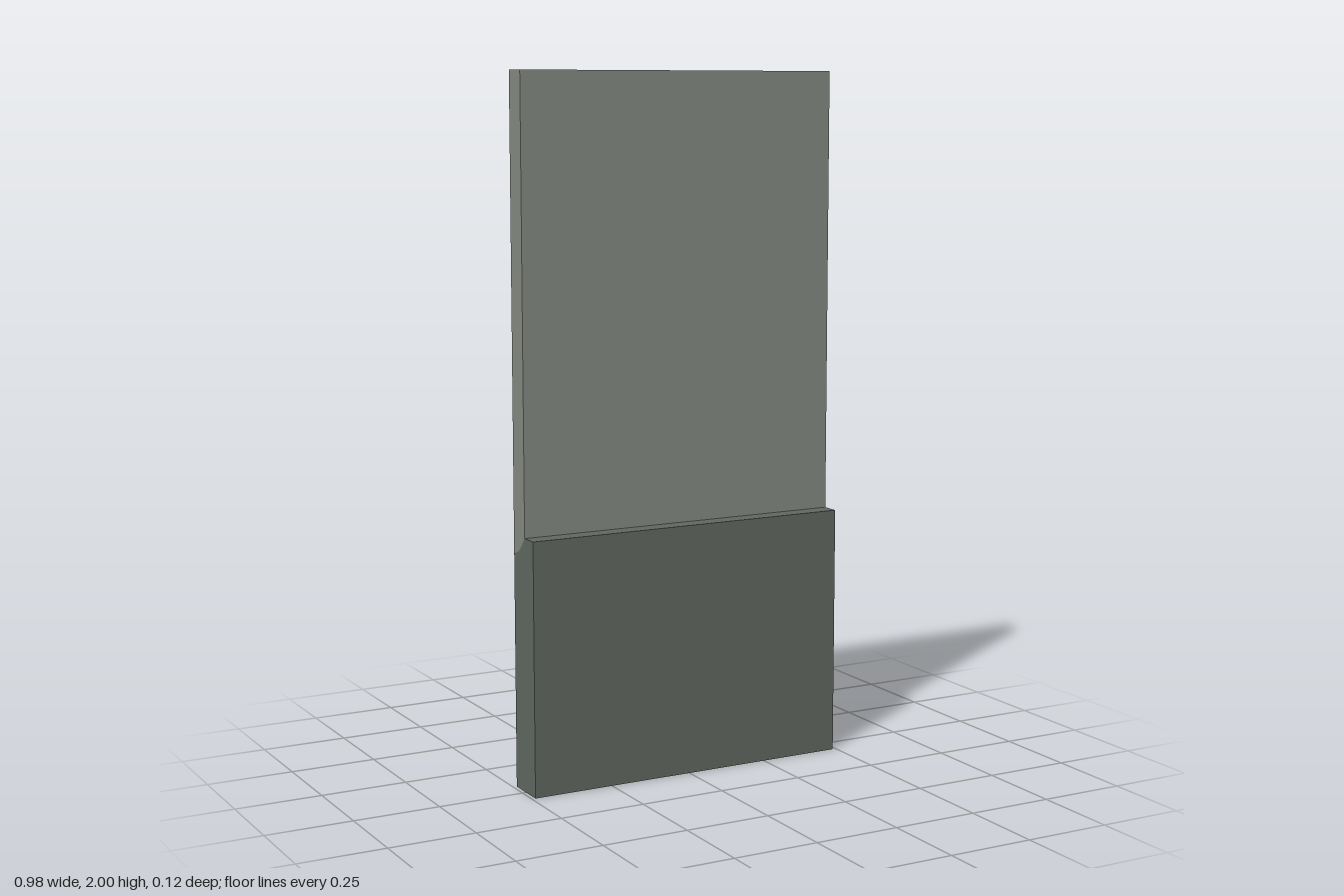
import * as THREE from 'three';

const HALF = 0.489, BACK = -0.062, STEP = 0.008, FRONT = 0.062, LEDGE = 0.726, TOP = 2;

// Open sheet: a [z, y] profile swept across the full width, with hard folds
function sweep(profile) {
  const pos = [];
  for (let i = 0; i < profile.length - 1; i++) {
    const [az, ay] = profile[i], [bz, by] = profile[i + 1];
    const a = [-HALF, ay, az], b = [-HALF, by, bz], c = [HALF, by, bz], d = [HALF, ay, az];
    pos.push(...a, ...b, ...c, ...a, ...c, ...d);
  }
  const geo = new THREE.BufferGeometry();
  geo.setAttribute('position', new THREE.Float32BufferAttribute(pos, 3));
  geo.computeVertexNormals();
  return geo;
}

// Flat end wall from a [z, y] outline, facing outward on the given side
function endWall(outline, side) {
  const shape = new THREE.Shape(outline.map(([z, y]) => new THREE.Vector2(-side * z, y)));
  return new THREE.ShapeGeometry(shape).rotateY(side * Math.PI / 2).translate(side * HALF, 0, 0);
}

export function createModel() {
  const model = new THREE.Group();
  model.name = 'steppedWallPanel';

  const paint = (name, color) => {
    const m = new THREE.MeshStandardMaterial({ color, side: THREE.DoubleSide });
    m.name = name;
    return m;
  };
  const lightGrey = paint('lightGrey', 0x858a82);
  const darkGrey = paint('darkGrey', 0x616861);
  const add = (name, geometry, material) => {
    const mesh = new THREE.Mesh(geometry, material);
    mesh.name = name;
    model.add(mesh);
  };

  // Upper panel face with its top edge
  add('upperPanel', sweep([[BACK, TOP], [STEP, TOP], [STEP, LEDGE]]), lightGrey);
  // Thicker base: ledge, front face and underside; the back stays open
  add('lowerPanel', sweep([[STEP, LEDGE], [FRONT, LEDGE], [FRONT, 0], [BACK, 0]]), darkGrey);

  // End walls, divided by a slightly curved colour border
  const border = [[BACK, 0.674], [-0.045, 0.678], [-0.028, 0.686], [-0.01, 0.705], [STEP, LEDGE]];
  for (const side of [1, -1]) {
    const label = side > 0 ? 'left' : 'right';
    add(label + 'UpperEnd', endWall([...border, [STEP, TOP], [BACK, TOP]], side), lightGrey);
    add(label + 'LowerEnd', endWall([...border, [FRONT, LEDGE], [FRONT, 0], [BACK, 0]], side), darkGrey);
  }
  return model;
}
